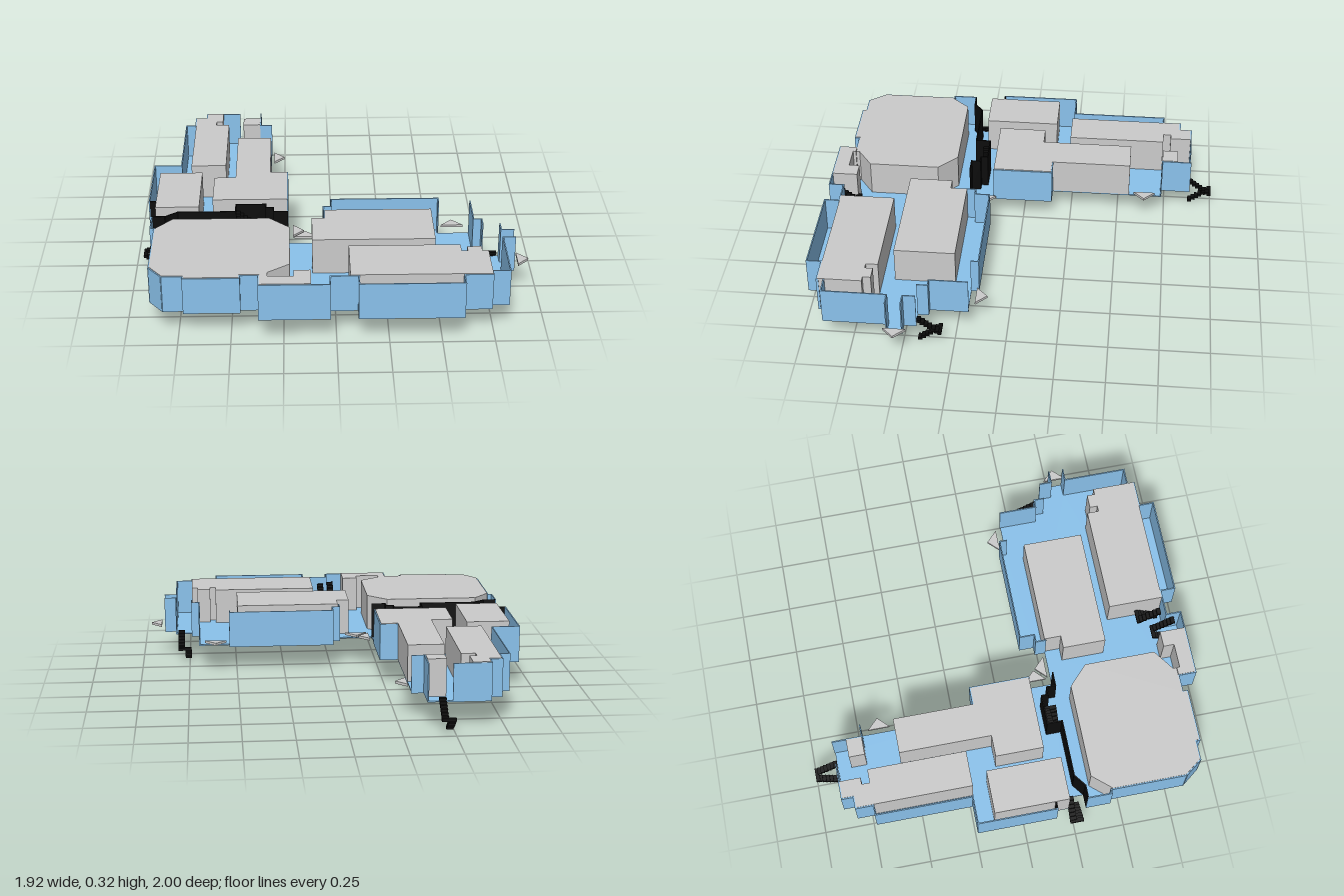
import * as THREE from 'three';

const paint = (color) => new THREE.MeshStandardMaterial({ color, side: THREE.DoubleSide });
const FLOOR = 0.13, TOP = 0.32;

// Horizontal slab from a plan outline of [x, z] corners
function slab(name, pts, y0, y1, mat) {
  const shape = new THREE.Shape(pts.map(([x, z]) => new THREE.Vector2(x, -z)));
  const geo = new THREE.ExtrudeGeometry(shape, { depth: y1 - y0, bevelEnabled: false });
  geo.rotateX(-Math.PI / 2).translate(0, y0, 0);
  const mesh = new THREE.Mesh(geo, mat);
  mesh.name = name;
  return mesh;
}

// Thin upright walls following a plan polyline
function wallRun(name, pts, y0, y1, mat) {
  const group = new THREE.Group();
  group.name = name;
  for (let i = 0; i + 1 < pts.length; i++) {
    const [ax, az] = pts[i], [bx, bz] = pts[i + 1];
    const len = Math.hypot(bx - ax, bz - az);
    const wall = new THREE.Mesh(new THREE.BoxGeometry(len + 0.006, y1 - y0, 0.006), mat);
    wall.position.set((ax + bx) / 2, (y0 + y1) / 2, (az + bz) / 2);
    wall.rotation.y = -Math.atan2(bz - az, bx - ax);
    group.add(wall);
  }
  return group;
}

// Switchback stair: starts at the origin, runs along +x, flights side by side in z
function stair(name, x, y, z, turn, side, mat) {
  const group = new THREE.Group();
  group.name = name;
  const steps = 6, w = 0.034;
  for (let f = 0; f < 2; f++) {
    for (let i = 0; i < steps; i++) {
      const step = new THREE.Mesh(new THREE.BoxGeometry(0.021, 0.014, w), mat);
      step.position.set(0.01 + i * 0.0175, f ? 0.148 - i * 0.0125 : 0.007 + i * 0.0125, side * (f ? -1 : 1) * 0.0178);
      group.add(step);
    }
  }
  const landing = new THREE.Mesh(new THREE.BoxGeometry(0.02, 0.014, 0.07), mat);
  landing.position.set(0.11, 0.078, 0);
  group.add(landing);
  group.position.set(x, y, z);
  group.rotation.y = turn;
  return group;
}

export function createModel() {
  const model = new THREE.Group();
  const blue = paint(0x8ac2ec), grey = paint(0xcccccc), black = paint(0x0c0c0c);

  // Floor plate of the two wings
  const backEdge = [[-0.68, -0.88], [-0.38, -0.88], [-0.38, -0.73], [-0.32, -0.73], [-0.32, -0.15], [-0.23, -0.15],
    [-0.23, 0.28], [-0.05, 0.28], [-0.05, 0.23], [-0.01, 0.23], [-0.01, 0.155], [0.535, 0.155], [0.535, 0.19],
    [0.695, 0.19], [0.695, 0.38], [0.735, 0.38], [0.735, 0.43], [0.82, 0.43], [0.82, 0.49], [0.88, 0.49]];
  const frontEdge = [[0.88, 0.565], [0.82, 0.565], [0.82, 0.885], [0.735, 0.885], [0.735, 0.92], [0.6, 0.92],
    [0.6, 0.995], [0.105, 0.995], [0.105, 0.92], [-0.03, 0.92], [-0.03, 0.995], [-0.365, 0.995], [-0.365, 0.905],
    [-0.455, 0.905], [-0.455, 0.93], [-0.72, 0.93], [-0.72, 0.91], [-0.82, 0.91], [-0.885, 0.825], [-0.885, 0.44],
    [-0.905, 0.44], [-0.905, 0.32]];
  const sideEdge = [[-0.93, 0.16], [-0.93, -0.24], [-0.79, -0.24], [-0.79, -0.73], [-0.74, -0.73], [-0.74, -0.82], [-0.68, -0.82]];
  const joint = [[-0.84, 0.32], [-0.84, 0.23], [-0.895, 0.23], [-0.895, 0.16]];
  model.add(slab('floor', [...backEdge, ...frontEdge, ...joint, ...sideEdge], FLOOR, 0.136, blue));

  // Outer walls, left open at the doorways and stairs
  const runs = {
    frontWall: frontEdge.slice(0, 4),
    longFrontWall: frontEdge.slice(4),
    frontCornerWall: [[0.735, 0.92], [0.735, 0.914]],
    sideWall: [...sideEdge, [-0.68, -0.88], [-0.5, -0.88]],
    wingEndWall: backEdge.slice(1, 4),
    wingInnerWall: [[-0.32, -0.15], [-0.23, -0.15], [-0.23, 0.155]],
    innerWall: [...backEdge.slice(7, 12), [0.535, 0.19]],
    endWall: backEdge.slice(13, 17),
    porchWall: backEdge.slice(17),
  };
  for (const [name, pts] of Object.entries(runs)) model.add(wallRun(name, pts, FLOOR, TOP, blue));

  // Black dividing wall between the wings, and the short end wall
  model.add(wallRun('dividingWall', [[-0.905, 0.32], [-0.84, 0.32], [-0.78, 0.275], [-0.49, 0.275], [-0.49, 0.2],
    [-0.34, 0.2], [-0.34, 0.235], [-0.3, 0.235], [-0.3, 0.28], [-0.23, 0.28]], 0.126, TOP, black));
  model.add(wallRun('shortEndWall', [[-0.93, 0.16], [-0.897, 0.16]], FLOOR, TOP, black));

  // Solid room blocks
  const rooms = {
    hallBlock: [[-0.882, 0.45], [-0.8, 0.355], [-0.32, 0.355], [-0.22, 0.45], [-0.22, 0.81], [-0.325, 0.885],
      [-0.325, 0.903], [-0.457, 0.903], [-0.457, 0.927], [-0.718, 0.927], [-0.718, 0.907], [-0.818, 0.907], [-0.882, 0.823]],
    entryBlock: [[-0.363, 0.905], [-0.325, 0.905], [-0.325, 0.92], [-0.2, 0.92], [-0.2, 0.865], [-0.12, 0.865], [-0.12, 0.992], [-0.363, 0.992]],
    innerRoomBlock: [[-0.11, 0.36], [-0.045, 0.36], [-0.045, 0.275], [0.49, 0.275], [0.49, 0.58], [-0.11, 0.58]],
    frontRoomBlock: [[0.065, 0.64], [0.605, 0.64], [0.605, 0.7], [0.635, 0.7], [0.635, 0.66], [0.705, 0.66],
      [0.705, 0.7], [0.735, 0.7], [0.735, 0.917], [0.065, 0.917]],
    wingRoomBlock: [[-0.61, -0.09], [-0.5, -0.09], [-0.5, -0.56], [-0.32, -0.56], [-0.32, -0.147], [-0.233, -0.147],
      [-0.233, 0.155], [-0.61, 0.155]],
    wingCornerBlock: [[-0.895, -0.15], [-0.675, -0.15], [-0.675, 0.23], [-0.895, 0.23]],
    wingOuterBlock: [[-0.737, -0.817], [-0.677, -0.817], [-0.677, -0.877], [-0.59, -0.877], [-0.59, -0.77],
      [-0.625, -0.77], [-0.625, -0.73], [-0.555, -0.73], [-0.555, -0.23], [-0.737, -0.23]],
    wingEndBlock: [[-0.475, -0.81], [-0.383, -0.81], [-0.383, -0.73], [-0.475, -0.73]],
  };
  for (const [name, pts] of Object.entries(rooms)) model.add(slab(name, pts, 0.136, 0.323, grey));

  // Outside stairs down to the ground, then inside stairs on the floor
  const q = Math.PI / 2;
  model.add(stair('sideStair', -0.84, 0, 0.265, Math.PI, -1, black));
  model.add(stair('backStair', -0.465, 0, -0.88, q, -1, black));
  model.add(stair('endStair', 0.775, 0, 0.43, q, -1, black));
  model.add(stair('hallStair', -0.488, 0.128, 0.236, 0, 1, black));
  model.add(stair('frontStair', -0.07, 0.126, 0.96, q, -1, black));
  model.add(stair('innerStair', 0.025, 0.13, 0.9, q, 1, black));

  // Flat arrows marking the doorways: tip direction [dx, dz] from the base centre
  const arrows = [[-0.305, -0.64, 1, 0, 0.153], [-0.205, 0.198, 1, 0, 0.153], [-0.14, 0.264, 0, -1, 0.153],
    [0.61, 0.16, 0, -1, 0.153], [0.9, 0.525, 1, 0, 0.163]];
  for (const [x, z, dx, dz, y] of arrows) {
    const h = 0.056;
    model.add(slab('doorArrow', [[x - dz * h, z - dx * h], [x + dx * h, z + dz * h], [x + dz * h, z + dx * h]], y, y + 0.013, grey));
  }
  return model;
}
